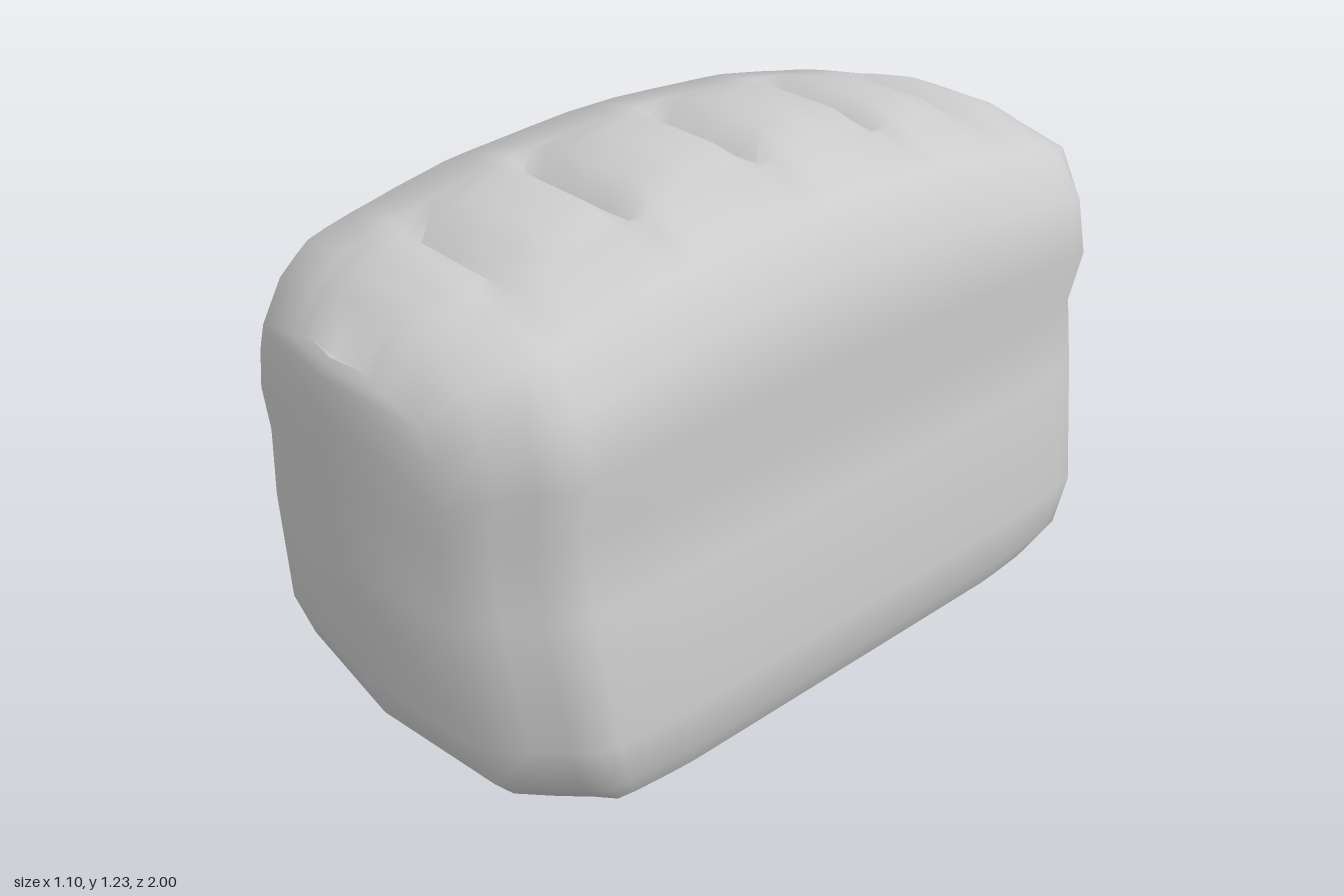
import * as THREE from 'three';
import { toCreasedNormals } from 'three/addons/utils/BufferGeometryUtils.js';

// Half cross-section of the loaf, from top centre to bottom centre:
// x, y, length factor, groove share, bulge of the end face
const PROFILE = [
  [0, 1.23, 1, 1, 0], [0.11, 1.23, 1, 1, 0.012], [0.17, 1.215, 1, 0.65, 0.018],
  [0.22, 1.2, 1, 0, 0.024], [0.385, 1.16, 1, 0, 0.032], [0.475, 1.04, 1, 0, 0.043],
  [0.505, 0.87, 1, 0, 0.045], [0.475, 0.7, 1, 0, 0.045], [0.5, 0.53, 1, 0, 0.045],
  [0.55, 0.23, 0.975, 0, 0.043], [0.54, 0.11, 0.935, 0, 0.04], [0.5, 0.03, 0.87, 0, 0.035],
  [0.35, 0.01, 0.81, 0, 0.02], [0, 0, 0.79, 0, 0],
];

// Stations from the middle to one end: z, crown height, width factor, groove depth
const STATIONS = [
  [0, 1.23, 1, 0.05], [0.07, 1.23, 1, 0], [0.18, 1.222, 1, 0], [0.3, 1.212, 1, 0],
  [0.36, 1.207, 1, 0.05], [0.42, 1.2, 1, 0], [0.55, 1.172, 1, 0], [0.6, 1.16, 0.995, 0],
  [0.67, 1.145, 0.985, 0.035], [0.73, 1.13, 0.975, 0], [0.78, 1.115, 0.96, 0],
  [0.82, 1.102, 0.88, 0], [0.88, 1.075, 0.78, 0], [0.955, 1.0, 0.64, 0],
];

const WAIST = 0.7;

function loafGeometry() {
  const n = PROFILE.length - 1;
  const ringSize = 2 * n;
  const positions = [];
  const index = [];

  // Skips collapsed triangles where a row closes to a point
  const tri = (a, b, c) => {
    if (a !== b && b !== c && a !== c) index.push(a, b, c);
  };
  const quad = (a, b, c, d) => {
    tri(a, b, c);
    tri(a, c, d);
  };

  const sectionPoint = (i, side, [z, crown, width, groove]) => {
    const [x, y, lengthFactor, share] = PROFILE[i];
    const arch = i < 5 ? 1 + 0.35 * (1 - width) : 1;
    const height = y > WAIST ? WAIST + (y - WAIST) * (crown - WAIST) / (1.23 - WAIST) : y;
    return [side * x * width * arch, height - groove * share, z * lengthFactor];
  };

  // Rings along the length, each running down the left and up the right
  const back = STATIONS.slice(1).reverse().map(([z, ...rest]) => [-z, ...rest]);
  const stations = [...back, ...STATIONS];
  for (const station of stations) {
    for (let k = 0; k < ringSize; k++) {
      const i = k <= n ? k : ringSize - k;
      positions.push(...sectionPoint(i, k <= n ? 1 : -1, station));
    }
  }
  for (let j = 0; j < stations.length - 1; j++) {
    for (let k = 0; k < ringSize; k++) {
      const next = (k + 1) % ringSize;
      const a = j * ringSize;
      const b = a + ringSize;
      quad(a + k, b + k, b + next, a + next);
    }
  }

  // Gently bulging end faces with a middle column
  for (const end of [1, -1]) {
    const j = end > 0 ? stations.length - 1 : 0;
    const base = j * ringSize;
    const middle = PROFILE.map((row, i) => {
      if (i === 0 || i === n) return base + i;
      const [, y, z] = sectionPoint(i, 1, stations[j]);
      positions.push(0, y, z + end * row[4]);
      return positions.length / 3 - 1;
    });
    const left = (i) => base + i;
    const right = (i) => base + (ringSize - i) % ringSize;
    for (let i = 0; i < n; i++) {
      const halves = [
        [middle[i], middle[i + 1], left(i + 1), left(i)],
        [right(i), right(i + 1), middle[i + 1], middle[i]],
      ];
      for (const corners of halves) quad(...(end > 0 ? corners : corners.reverse()));
    }
  }

  const geometry = new THREE.BufferGeometry();
  geometry.setAttribute('position', new THREE.Float32BufferAttribute(positions, 3));
  geometry.setIndex(index);
  return toCreasedNormals(geometry, 0.9);
}

export function createModel() {
  const crust = new THREE.MeshStandardMaterial({ color: 0xcccccc });
  crust.name = 'crust';

  const loaf = new THREE.Mesh(loafGeometry(), crust);
  loaf.name = 'breadLoaf';

  const model = new THREE.Group();
  model.name = 'bread';
  model.add(loaf);
  return model;
}
